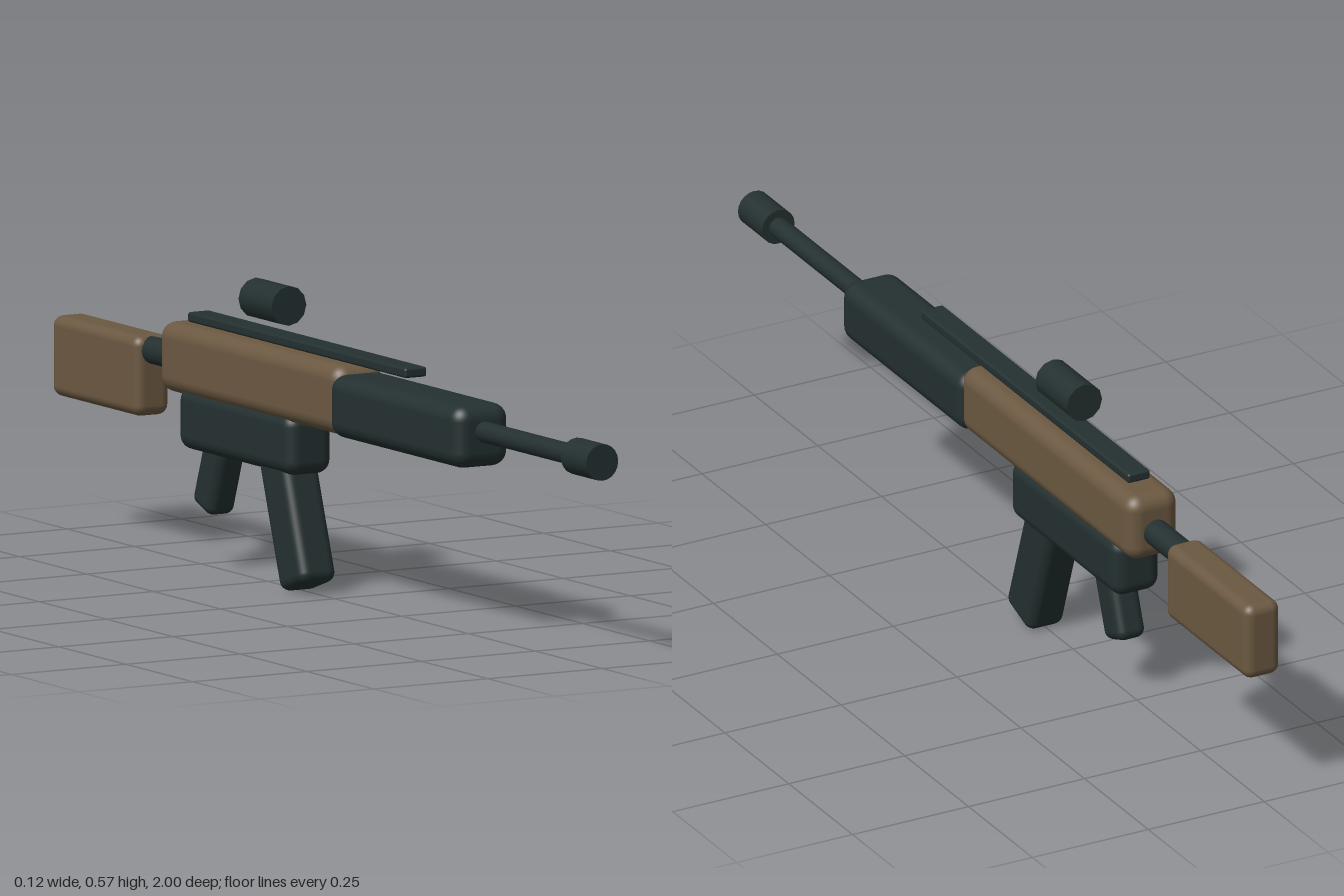
import * as THREE from 'three';
import { RoundedBoxGeometry } from 'three/addons/geometries/RoundedBoxGeometry.js';

export function createModel() {
  const model = new THREE.Group();
  model.name = 'rifle';

  const gunmetal = new THREE.MeshStandardMaterial({ color: 0x243030 });
  gunmetal.name = 'dark gunmetal';
  const tan = new THREE.MeshStandardMaterial({ color: 0x6b5841 });
  tan.name = 'earth brown';

  // Rounded block given by its size and its centre; tilt turns it about x
  function block(name, material, [w, h, d], y, z, radius, tilt = 0) {
    const mesh = new THREE.Mesh(new RoundedBoxGeometry(w, h, d, 4, radius), material);
    mesh.name = name;
    mesh.position.set(0, y, z);
    mesh.rotation.x = tilt;
    model.add(mesh);
  }

  // Round bar along z between two ends
  function tube(name, radius, y, zBack, zFront, sides) {
    const geometry = new THREE.CylinderGeometry(radius, radius, zFront - zBack, sides);
    geometry.rotateX(Math.PI / 2);
    const mesh = new THREE.Mesh(geometry, gunmetal);
    mesh.name = name;
    mesh.position.set(0, y, (zBack + zFront) / 2);
    model.add(mesh);
  }

  // Main body
  block('receiver', tan, [0.11, 0.134, 0.675], 0.399, -0.237, 0.03);
  block('handguard', gunmetal, [0.12, 0.12, 0.49], 0.39, 0.315, 0.03);
  block('triggerHousing', gunmetal, [0.1, 0.12, 0.425], 0.29, -0.298, 0.027);

  // Barrel and muzzle
  tube('barrel', 0.02, 0.4, 0.5, 0.95, 16);
  tube('muzzle', 0.035, 0.4, 0.905, 1, 20);

  // Magazine leans forward, grip leans back
  block('magazine', gunmetal, [0.08, 0.26, 0.1], 0.14, -0.139, 0.02, -0.33);
  block('grip', gunmetal, [0.06, 0.2, 0.074], 0.212, -0.423, 0.018, 0.35);

  // Rear tube and stock
  tube('stockTube', 0.026, 0.391, -0.72, -0.54, 16);
  block('stock', tan, [0.076, 0.154, 0.324], 0.342, -0.838, 0.02);

  // Top rail and floating sight
  block('topRail', gunmetal, [0.048, 0.019, 0.815], 0.479, -0.103, 0.005);
  tube('sight', 0.038, 0.543, -0.295, -0.171, 12);

  return model;
}
